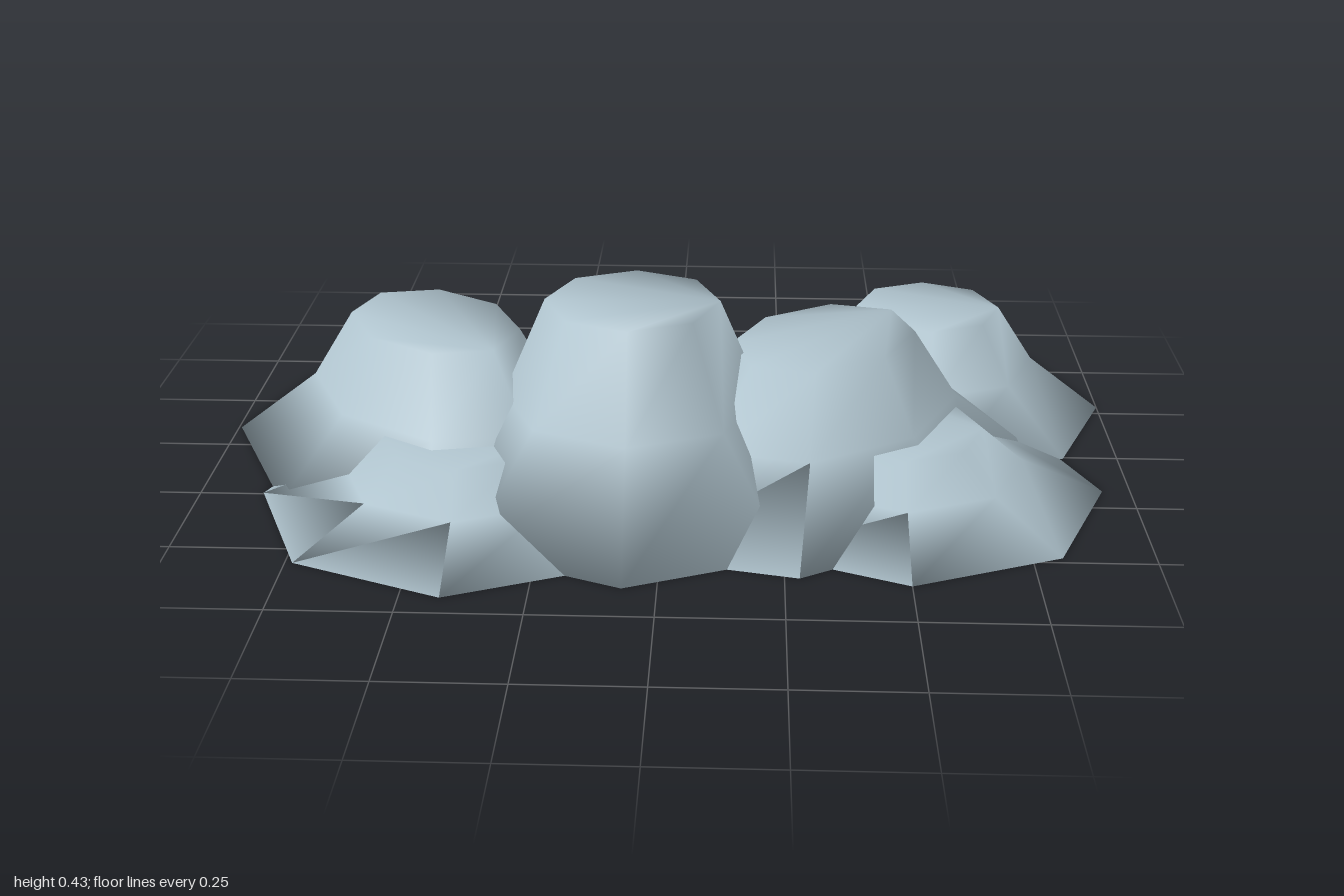
import * as THREE from 'three';

const SIDES = 8;
// ring radius and height as fractions of a mound's size
const RINGS = [[1, 0], [0.6, 0.5], [0.4, 1]];

// Closed eight-sided mound with a flat top and base and shared, smooth normals
function moundGeometry(a, b, height, turn) {
  const positions = [];
  const index = [];
  for (const [r, y] of RINGS) {
    for (let i = 0; i < SIDES; i++) {
      const t = (i / SIDES) * Math.PI * 2;
      positions.push(Math.cos(t) * r * a, y * height, Math.sin(t) * r * b);
    }
  }
  for (let ring = 0; ring < RINGS.length - 1; ring++) {
    for (let i = 0; i < SIDES; i++) {
      const j = (i + 1) % SIDES;
      const lo = ring * SIDES;
      const hi = lo + SIDES;
      index.push(lo + i, hi + i, lo + j, lo + j, hi + i, hi + j);
    }
  }
  // flat caps
  const top = (RINGS.length - 1) * SIDES;
  for (let i = 1; i < SIDES - 1; i++) {
    index.push(top, top + i + 1, top + i);
    index.push(0, i, i + 1);
  }
  const geometry = new THREE.BufferGeometry();
  geometry.setAttribute('position', new THREE.Float32BufferAttribute(positions, 3));
  geometry.setIndex(index);
  geometry.rotateY(turn);
  geometry.computeVertexNormals();
  return geometry;
}

export function createModel() {
  const group = new THREE.Group();
  group.name = 'moundCluster';
  const paleBlueGrey = new THREE.MeshStandardMaterial({ color: 0xb0c4ce });
  paleBlueGrey.name = 'paleBlueGrey';

  // name, centre x, centre z, half length, half width, height, turn
  const mounds = [
    ['centreMound', -0.07, 0.18, 0.46, 0.46, 0.43, 0],
    ['rightLongMound', -0.514, 0.017, 0.567, 0.406, 0.315, -0.85],
    ['leftLongMound', 0.335, 0.083, 0.58, 0.42, 0.315, 0.835],
    ['backLeftMound', 0.59, -0.285, 0.41, 0.41, 0.25, 0],
    ['frontLeftMound', 0.5, 0.17, 0.44, 0.44, 0.145, 0],
    ['frontRightMound', -0.42, 0.245, 0.445, 0.445, 0.145, 0],
  ];
  for (const [name, x, z, a, b, height, turn] of mounds) {
    const mesh = new THREE.Mesh(moundGeometry(a, b, height, turn), paleBlueGrey);
    mesh.name = name;
    mesh.position.set(x, 0, z);
    group.add(mesh);
  }
  return group;
}
